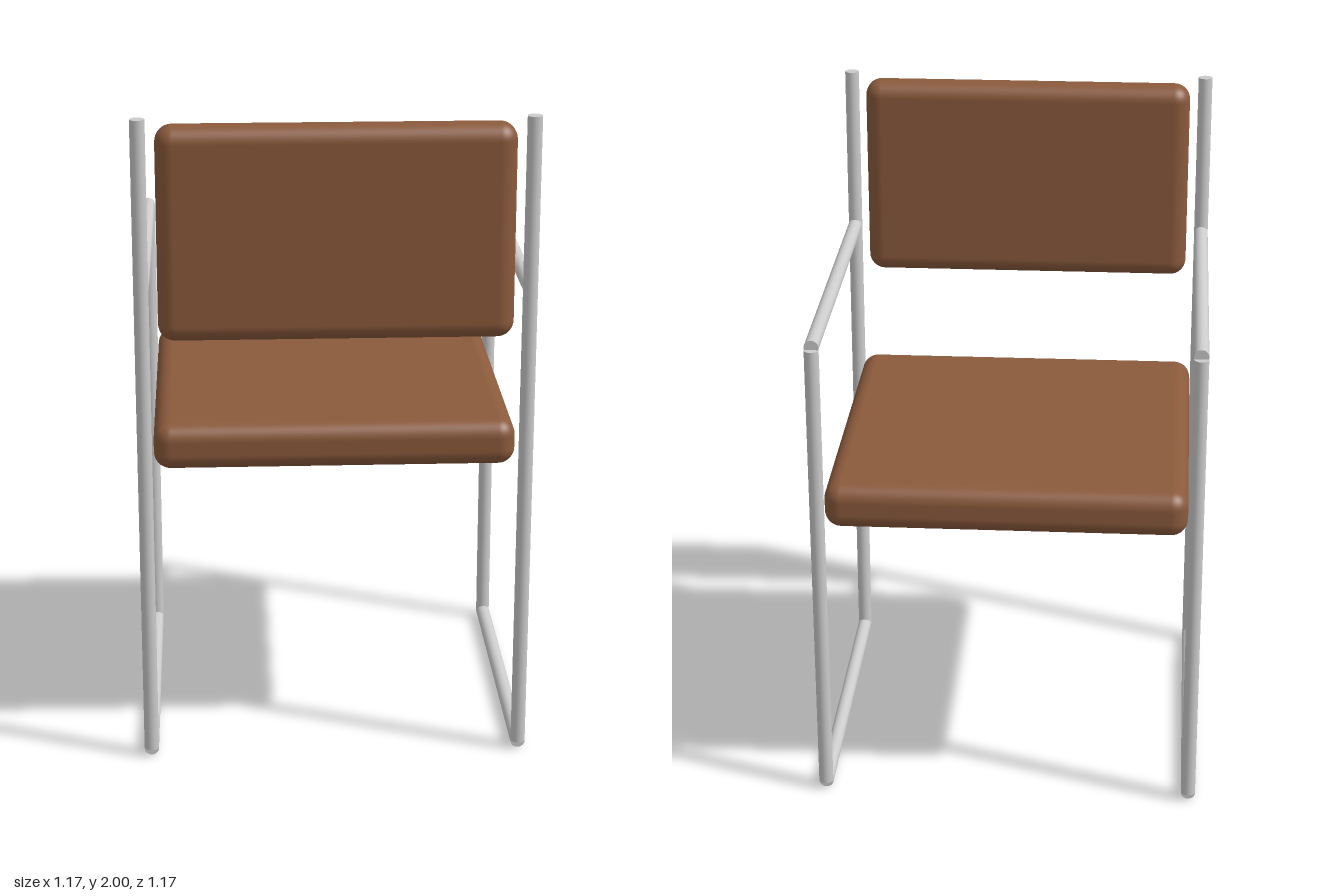
import * as THREE from 'three';
import { RoundedBoxGeometry } from 'three/addons/geometries/RoundedBoxGeometry.js';

const R = 0.022; // tube radius
const metal = new THREE.MeshStandardMaterial({ color: 0xcccccc });
const leather = new THREE.MeshStandardMaterial({ color: 0x8b5a3c });

// Straight tube between two points [y, z] in a side frame
function tube(name, x, [y0, z0], [y1, z1]) {
  const a = new THREE.Vector3(x, y0, z0);
  const b = new THREE.Vector3(x, y1, z1);
  const dir = b.clone().sub(a);
  const mesh = new THREE.Mesh(new THREE.CylinderGeometry(R, R, dir.length(), 24), metal);
  mesh.name = name;
  mesh.position.copy(a).add(b).multiplyScalar(0.5);
  mesh.quaternion.setFromUnitVectors(new THREE.Vector3(0, 1, 0), dir.normalize());
  return mesh;
}

// Padded cushion with rounded edges
function cushion(name, w, h, d, y, z) {
  const mesh = new THREE.Mesh(new RoundedBoxGeometry(w, h, d, 5, 0.05), leather);
  mesh.name = name;
  mesh.position.set(0, y, z);
  return mesh;
}

export function createModel() {
  const chair = new THREE.Group();
  chair.name = 'armchair';

  // Cushions
  chair.add(cushion('seat', 1.08, 0.14, 1.08, 0.99, -0.05));
  chair.add(cushion('backrest', 1.035, 0.635, 0.114, 1.663, 0.528));

  // Mirrored tubular side frames
  for (const [side, x] of [['left', 0.565], ['right', -0.565]]) {
    const frame = new THREE.Group();
    frame.name = side + 'Frame';
    frame.add(
      tube('rearPost', x, [0.027, 0.498], [2, 0.545]),
      tube('floorRail', x, [R + 0.002, 0.498], [R + 0.002, -0.54]),
      tube('frontLeg', x, [0.027, -0.54], [0.97, -0.54]),
      tube('armPost', x, [0.97, -0.54], [1.48, -0.54]),
      tube('armrest', x, [1.487, -0.54], [1.487, 0.52])
    );
    chair.add(frame);
  }
  return chair;
}
